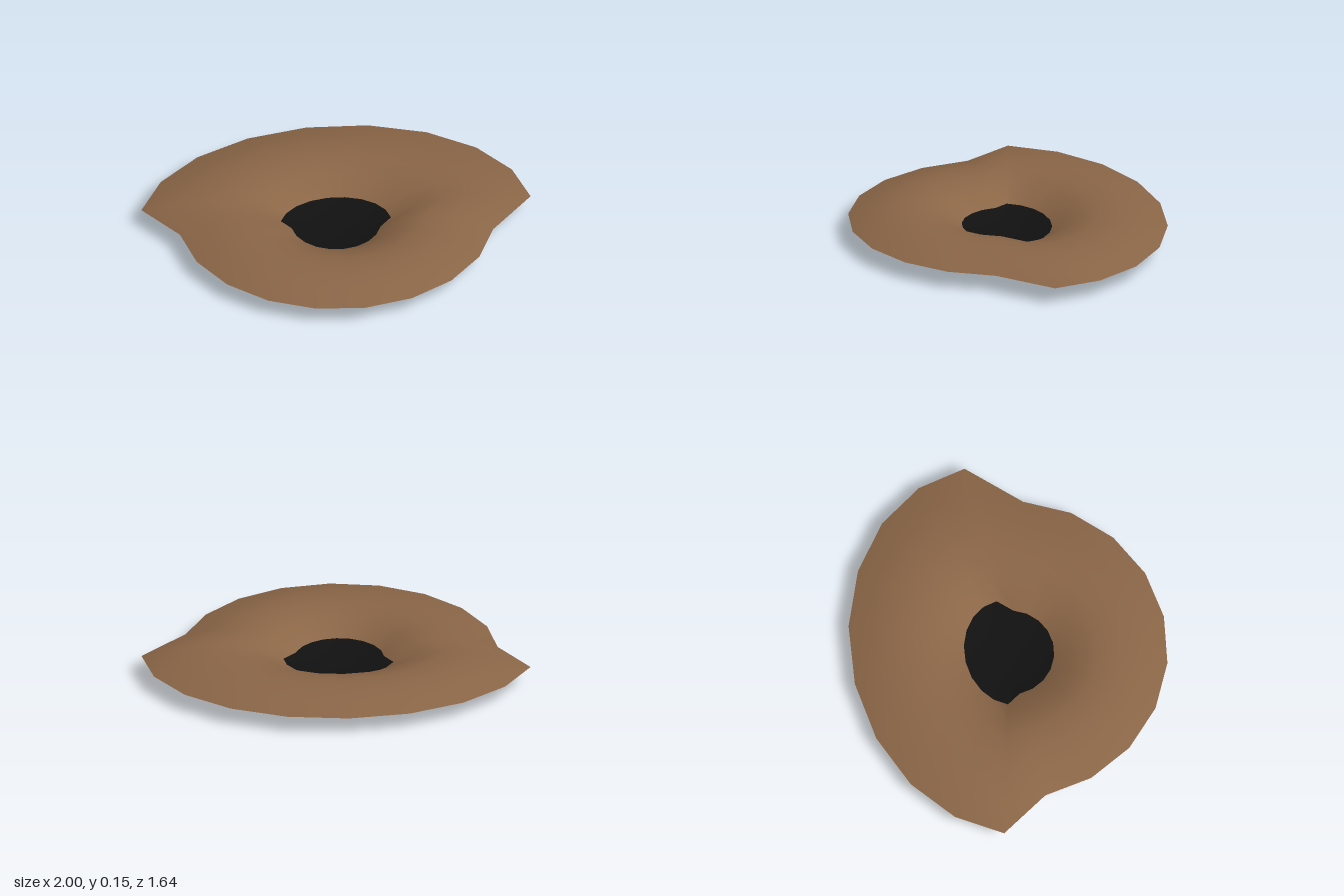
import * as THREE from 'three';
import { mergeVertices } from 'three/addons/utils/BufferGeometryUtils.js';

const SIDES = 20;
const CENTRE_X = -0.026;
const STRETCH = 1.25; // the back half is wider in x than the front half

const earth = new THREE.MeshStandardMaterial({ color: 0x8b6647, side: THREE.DoubleSide });
earth.name = 'brown earth';
const dark = new THREE.MeshStandardMaterial({ color: 0x111111, side: THREE.DoubleSide });
dark.name = 'pit black';

// Revolve a profile [radius, y], running outside to inside, then widen the back half
function ring(name, profile, material) {
  const points = profile.map(([r, y]) => new THREE.Vector2(r, y));
  let geometry = new THREE.LatheGeometry(points, SIDES);
  const p = geometry.attributes.position;
  for (let i = 0; i < p.count; i++) {
    const x = p.getX(i), z = p.getZ(i);
    const back = x > 0 ? z < 1e-4 : z < -1e-4;
    p.setX(i, x * (back ? STRETCH : 1) + CENTRE_X);
  }
  // Weld the seam so the surface shades smoothly
  geometry.deleteAttribute('uv');
  geometry.deleteAttribute('normal');
  geometry = mergeVertices(geometry);
  geometry.computeVertexNormals();
  const mesh = new THREE.Mesh(geometry, material);
  mesh.name = name;
  return mesh;
}

export function createModel() {
  const group = new THREE.Group();
  group.name = 'crater';
  // Raised rim that slopes down to the ground outside and into the pit inside
  group.add(ring('craterRim', [
    [0.82, 0.092], [0.703, 0.129], [0.586, 0.15],
    [0.468, 0.15], [0.351, 0.126], [0.232, 0.056],
  ], earth));
  // Shallow conical floor
  group.add(ring('pitFloor', [[0.232, 0.056], [0, 0]], dark));
  return group;
}
